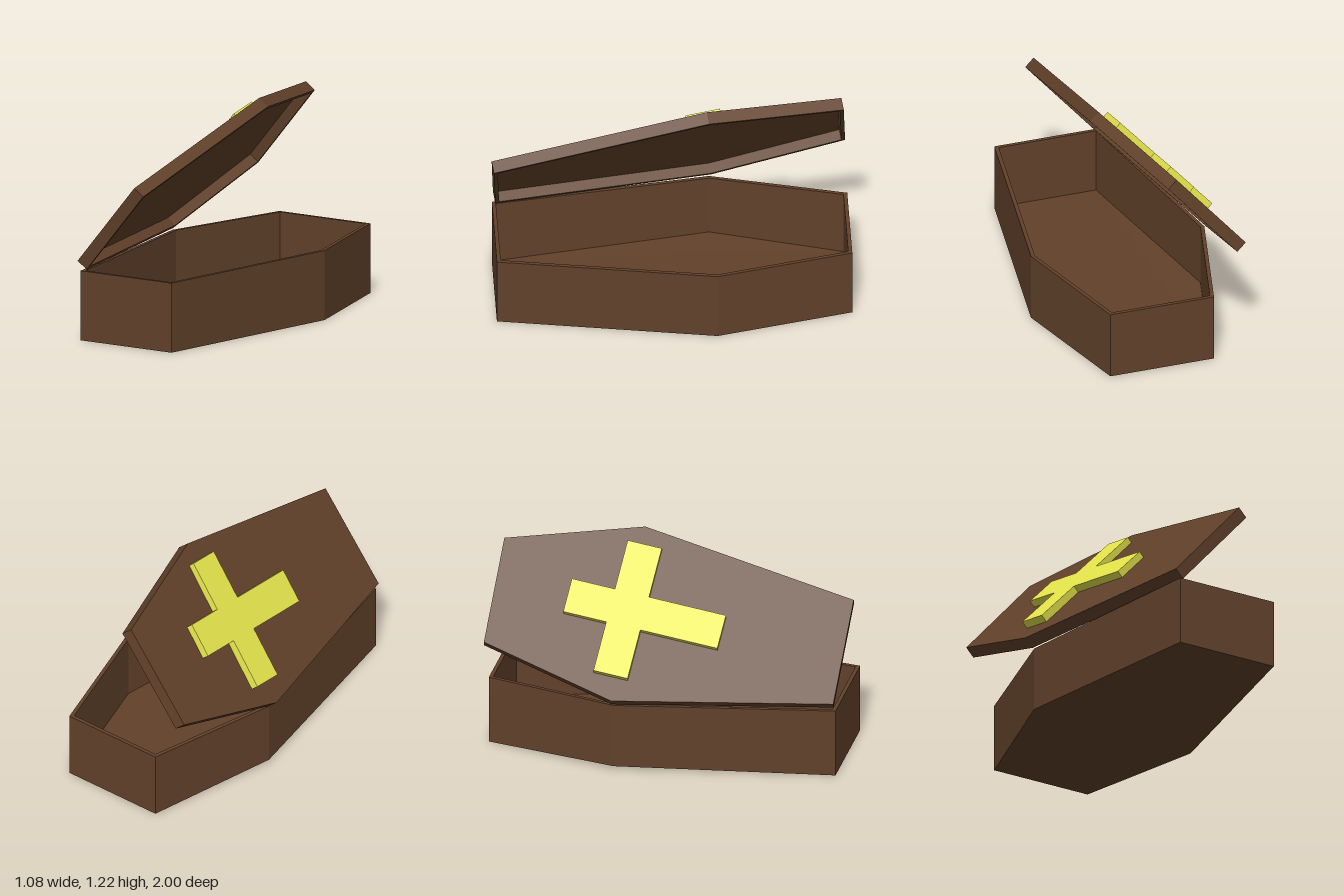
import * as THREE from 'three';

const wood = new THREE.MeshStandardMaterial({ color: 0x61412a });
wood.name = 'brown wood';
const gold = new THREE.MeshStandardMaterial({ color: 0xe4e44c });
gold.name = 'yellow ornament';

// Six-sided outline as [x, z], shrunk by an inset
function hex(i) {
  const f = 0.305 - 0.85 * i, m = 0.51 - 1.02 * i, b = 0.305 - 0.77 * i;
  return [[-f, 0.98 - i], [f, 0.98 - i], [m, -0.24], [b, -1 + i], [-b, -1 + i], [-m, -0.24]]
    .map(([x, z]) => new THREE.Vector2(x, -z));
}

// Extrude an outline upwards from height y
function slab(points, y, depth, hole) {
  const shape = new THREE.Shape(points);
  if (hole) shape.holes.push(new THREE.Path(hole));
  return new THREE.ExtrudeGeometry(shape, { depth, bevelEnabled: false })
    .rotateX(-Math.PI / 2).translate(0, y, 0);
}

// Open tray: thin floor plus a surrounding wall
function tray(name, height, floor, wall) {
  const group = new THREE.Group();
  group.name = name;
  const panel = new THREE.Mesh(slab(hex(0), 0, floor), wood);
  panel.name = name + 'Panel';
  const sides = new THREE.Mesh(slab(hex(0), floor, height - floor, hex(wall)), wood);
  sides.name = name + 'Walls';
  group.add(panel, sides);
  return group;
}

export function createModel() {
  const model = new THREE.Group();
  model.name = 'openCoffin';

  // Box, with its left bottom corner slightly lifted
  const base = tray('base', 0.395, 0.015, 0.022);
  base.position.x = 0.024;
  for (const mesh of base.children) {
    const p = mesh.geometry.attributes.position;
    for (let i = 0; i < p.count; i++) {
      if (p.getY(i) < 0.1 && p.getX(i) < -0.4) p.setY(i, p.getY(i) + 0.022);
    }
    mesh.geometry.computeVertexNormals();
  }
  model.add(base);

  // Lid, an upside-down shallow tray leaning over the left side
  const lid = new THREE.Group();
  lid.name = 'lid';
  const across = new THREE.Vector3(0.649, 0.755, 0.042).normalize();
  const along = across.clone().cross(new THREE.Vector3(-0.756, 0.638, 0.147)).normalize();
  const out = along.clone().cross(across);
  lid.quaternion.setFromRotationMatrix(new THREE.Matrix4().makeBasis(across, out, along));
  lid.position.set(-0.19, 0.804, 0.017);
  const cover = tray('cover', 0.07, 0.01, 0.022);
  cover.rotation.z = Math.PI;
  lid.add(cover);

  // Cross on the lid, turned and tilted a little
  const w = 0.098, arm = 0.387, top = 0.345, foot = -0.54;
  const outline = [[-w, foot], [w, foot], [w, -w], [arm, -w], [arm, w], [w, w],
    [w, top], [-w, top], [-w, w], [-arm, w], [-arm, -w], [-w, -w]]
    .map(([x, y]) => new THREE.Vector2(x, y));
  const cross = new THREE.Mesh(slab(outline, -0.004, 0.045), gold);
  cross.name = 'cross';
  cross.position.set(0.0135, 0, -0.245);
  cross.rotation.set(0, -0.06, -0.013);
  lid.add(cross);
  model.add(lid);

  return model;
}
